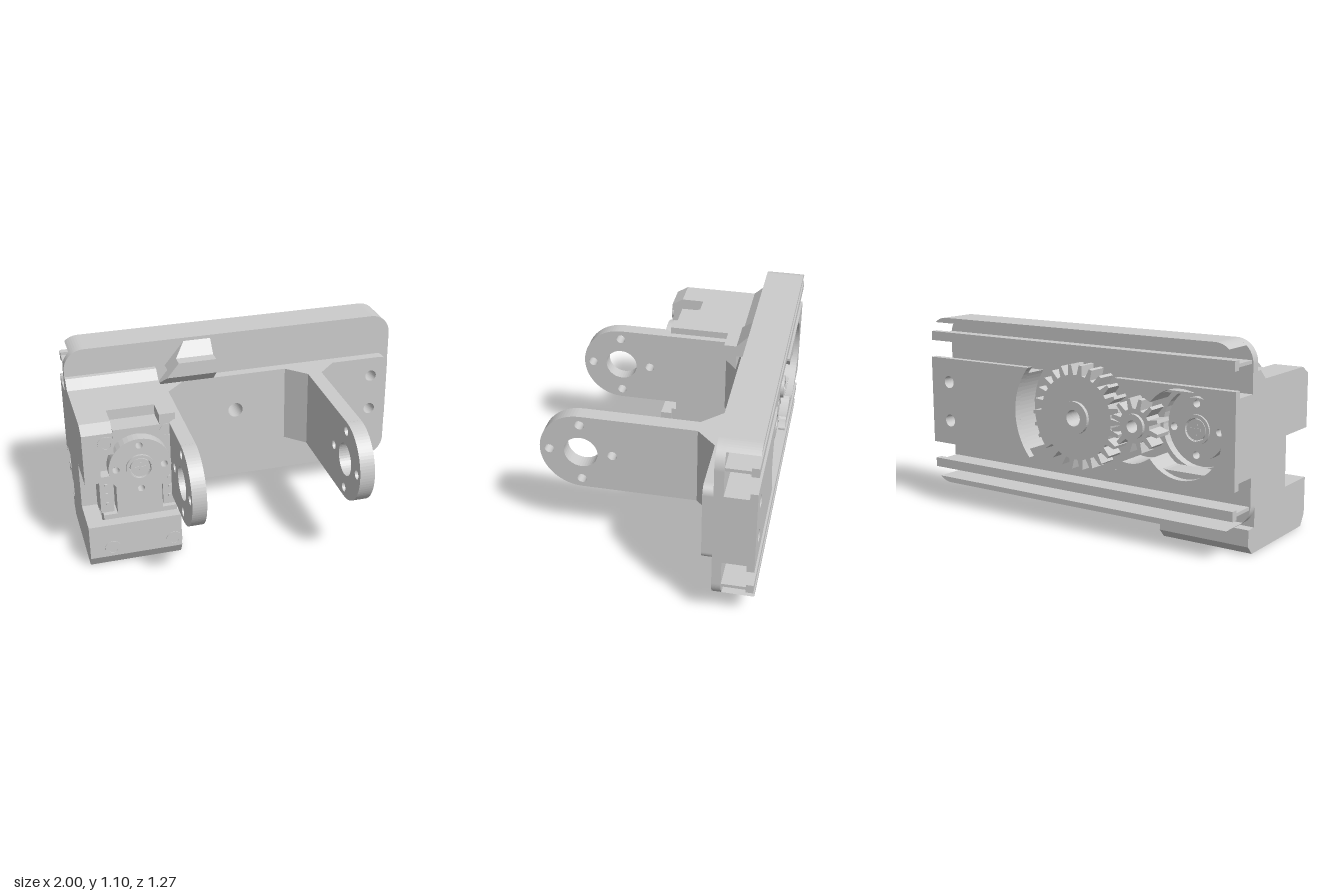
import * as THREE from 'three';

const C = 0.617; // height of the shaft axis
const HORN_X = -0.69, PINION_X = -0.38;

export function createModel() {
  const root = new THREE.Group();
  const mat = new THREE.MeshStandardMaterial({ color: 0xcccccc, side: THREE.DoubleSide });

  const add = (name, geo) => {
    const m = new THREE.Mesh(geo, mat);
    m.name = name;
    root.add(m);
    return m;
  };
  const poly = (pts) => new THREE.Shape(pts.map(([x, y]) => new THREE.Vector2(x, y)));
  const pierce = (shape, holes) => {
    for (const [x, y, r] of holes) shape.holes.push(new THREE.Path().absarc(x, y, r, 0, Math.PI * 2, true));
    return shape;
  };
  const extrude = (shape, depth) =>
    new THREE.ExtrudeGeometry(shape, { depth, bevelEnabled: false, curveSegments: 20 });
  // Shape in x, y pushed along z
  const alongZ = (name, shape, z0, z1) => add(name, extrude(shape, z1 - z0).translate(0, 0, z0));
  // Shape in -z, y pushed along x
  const alongX = (name, shape, x0, x1) =>
    add(name, extrude(shape, x1 - x0).rotateY(Math.PI / 2).translate(x0, 0, 0));
  const profile = (pts) => poly(pts.map(([z, y]) => [-z, y]));
  const box = (name, x0, x1, y0, y1, z0, z1) =>
    add(name, new THREE.BoxGeometry(x1 - x0, y1 - y0, z1 - z0)
      .translate((x0 + x1) / 2, (y0 + y1) / 2, (z0 + z1) / 2));
  const disc = (x, y, r) => new THREE.Shape().absarc(x, y, r, 0, Math.PI * 2);
  // Rectangle with a radius for each corner: bottom left, bottom right, top right, top left
  const rounded = (x0, x1, y0, y1, [a, b, c, d]) => {
    const s = new THREE.Shape(), H = Math.PI / 2;
    const corner = (x, y, r, t) => (r ? s.absarc(x, y, r, t, t + H) : s.lineTo(x, y));
    s.moveTo(x0 + a, y0);
    corner(x1 - b, y0 + b, b, -H);
    corner(x1 - c, y1 - c, c, 0);
    corner(x0 + d, y1 - d, d, H);
    corner(x0 + a, y0 + a, a, 2 * H);
    return s;
  };

  // Carriage: face plate with mounting and shaft holes
  const mounts = [[0.87, 0.73, 0.035], [0.87, 0.505, 0.035]];
  const shafts = [[0, C, 0.045], [PINION_X, C, 0.033]];
  alongZ('facePlate', pierce(rounded(-1, 1, 0.135, 1.1, [0.12, 0.12, 0.12, 0.12]),
    [...mounts, ...shafts, [HORN_X, C, 0.21]]), -0.465, -0.415);

  // Middle block, cut away around the gear train; the outer layer overhangs to form a slot
  const cavity = (x) => Math.max(...[[PINION_X, 0.19], [HORN_X, 0.235], [0, 0.38]]
    .map(([c, r]) => Math.sqrt(Math.max(0, r * r - (x - c) ** 2))));
  for (const [h, z0, z1] of [[0.213, -0.595, -0.465], [0.25, -0.635, -0.595]]) {
    const xg = Math.sqrt(0.38 ** 2 - h * h), a = Math.asin(h / 0.38);
    const end = [[1, C - h], [1, C + h]];
    for (let i = 0; i <= 20; i++) {
      const t = a - (2 * a * i) / 20;
      end.push([0.38 * Math.cos(t), C + 0.38 * Math.sin(t)]);
    }
    alongZ('blockPlainEnd', pierce(poly(end), mounts), z0, z1);
    const low = [];
    for (let i = 0; i <= 50; i++) {
      const x = -xg - ((0.925 - xg) * (1 - Math.cos((Math.PI * i) / 50))) / 2;
      low.push([x, Math.min(cavity(x), h - 0.012)]);
    }
    alongZ('blockGearEnd', poly([
      [-xg, C + h], [-1, C + h], [-1, C - h], [-xg, C - h],
      ...low.map(([x, d]) => [x, C - d]), ...low.reverse().map(([x, d]) => [x, C + d]),
    ]), z0, z1);
  }

  // Rails and outer lips, mirrored above and below the axis
  for (const s of [1, -1]) {
    const bar = (name, d0, d1, z0, z1) =>
      box(name, -0.992, 0.992, C + Math.min(s * d0, s * d1), C + Math.max(s * d0, s * d1), z0, z1);
    bar('railHead', 0.348, 0.4, -0.635, -0.595);
    bar('railWeb', 0.364, 0.382, -0.6, -0.46);
    const lip = [];
    for (const side of [1, -1]) {
      for (let i = 0; i <= 6; i++) {
        const k = side > 0 ? i : 6 - i;
        const t = 0.85 + ((Math.PI / 2 - 0.85) * k) / 6;
        lip.push([side * (0.88 + 0.12 * Math.cos(t)), C + s * (0.363 + 0.12 * Math.sin(t))]);
      }
    }
    alongZ('outerLip', poly(lip), -0.635, -0.46);
  }

  // Gears
  const gear = (name, x, n, root_, tip, bore, phase) => {
    const pts = [];
    for (let i = 0; i < n; i++) {
      for (const [f, r] of [[-0.3, root_], [-0.13, tip], [0.13, tip], [0.3, root_]]) {
        const t = ((i + f + phase) / n) * Math.PI * 2;
        pts.push([x + r * Math.cos(t), C + r * Math.sin(t)]);
      }
    }
    alongZ(name, pierce(poly(pts), [[x, C, bore]]), -0.59, -0.48);
    alongZ(name + 'Hub', pierce(disc(x, C, bore * 2), [[x, C, bore]]), -0.61, -0.46);
  };
  gear('largeGear', 0, 26, 0.232, 0.287, 0.045, 0);
  gear('pinion', PINION_X, 12, 0.092, 0.147, 0.033, 0.5);

  // Fork bracket: base plate, two arms and their gussets
  alongZ('bracketPlate', pierce(rounded(-0.47, 0.975, 0.385, 0.85, [0, 0.05, 0.05, 0]),
    [...mounts, ...shafts]), -0.415, -0.355);
  alongZ('bracketPad', rounded(-0.47, -0.135, 0.3, 0.39, [0.05, 0.06, 0, 0]), -0.415, -0.355);
  const arm = (name, z0, x0, x1) => {
    const s = new THREE.Shape();
    s.moveTo(-z0, 0.385);
    s.lineTo(-z0, 0.85);
    s.lineTo(-0.403, 0.85);
    s.absarc(-0.403, C, 0.2325, Math.PI / 2, Math.PI * 1.5);
    const holes = [[-0.403, C, 0.095]];
    for (let i = 0; i < 4; i++) {
      const t = (i * Math.PI) / 2;
      holes.push([-0.403 + 0.178 * Math.cos(t), C + 0.178 * Math.sin(t), 0.027]);
    }
    alongX(name, pierce(s, holes), x0, x1);
  };
  arm('leftArm', -0.36, 0.42, 0.505);
  arm('rightArm', 0.13, -0.51, -0.43);
  // Wedge in x, z pushed along y
  const prism = (name, pts) => add(name,
    extrude(poly(pts.map(([x, z]) => [x, -z])), 0.465).rotateX(-Math.PI / 2).translate(0, 0.385, 0));
  prism('rightArmRoot', [[-0.51, 0.13], [-0.47, 0.09], [-0.47, -0.36], [-0.43, -0.36], [-0.43, 0.13]]);
  for (const [x, d] of [[0.42, -0.11], [0.505, 0.11], [-0.43, 0.11]])
    prism('gusset', [[x, -0.245], [x, -0.355], [x + d, -0.355]]);

  // Hook above the bracket, its right end leaning with height
  const hook = alongX('hook', profile([[-0.415, 1.08], [-0.345, 1.005], [-0.275, 1.005], [-0.275, 0.92],
    [-0.345, 0.855], [-0.345, 0.94], [-0.415, 0.94]]), -0.47, -0.135);
  const p = hook.geometry.attributes.position;
  for (let i = 0; i < p.count; i++)
    if (p.getX(i) < -0.4) p.setX(i, -0.47 + (p.getY(i) - 0.87) * 0.83);
  hook.geometry.computeVertexNormals();

  // Motor housing: tray, notched side wall and roof
  alongX('housingTray', profile([[0.165, 0.065], [0.125, 0], [-0.44, 0], [-0.48, 0.045], [-0.48, 0.135],
    [-0.415, 0.135], [-0.415, 0.07], [0.1, 0.07], [0.1, 0.27], [0.165, 0.27]]), -1, -0.47);
  alongX('housingWall', profile([[0.165, 0.065], [0.165, 0.27], [-0.08, 0.27], [-0.08, 0.55], [0.165, 0.55],
    [0.165, 0.85], [0.1, 0.89], [-0.33, 0.89], [-0.385, 0.94], [-0.42, 0.94], [-0.42, 0.065]]), -1, -0.91);
  alongX('housingRoof', profile([[-0.03, 0.83], [-0.03, 0.89], [-0.33, 0.89], [-0.385, 0.94],
    [-0.42, 0.94], [-0.42, 0.83]]), -0.92, -0.47);
  alongX('roofFrontRight', profile([[0.165, 0.72], [0.165, 0.85], [0.1, 0.89], [-0.04, 0.89], [-0.04, 0.72]]),
    -0.92, -0.83);
  box('roofFrontLeft', -0.56, -0.47, 0.74, 0.89, -0.04, 0.1);

  // Servo body with side ports and corner screws
  box('servoBody', -0.91, -0.475, 0.07, 0.83, -0.41, 0.0);
  box('servoFront', -0.82, -0.56, 0.07, 0.83, -0.01, 0.1);
  box('servoLowerCase', -0.9, -0.478, 0.07, 0.3, -0.01, 0.1);
  for (const x of [-0.91, -0.55]) {
    box('servoPort', x, x + 0.075, 0.3, 0.53, -0.01, 0.07);
    for (let i = 0; i < 3; i++) box('portPin', x + 0.03, x + 0.045, 0.35 + i * 0.06, 0.365 + i * 0.06, 0.07, 0.08);
  }
  for (const [x, y, z] of [[-0.87, 0.785, 0.165], [-0.87, 0.115, 0.165], [-0.515, 0.115, 0.165], [-0.515, 0.785, 0.1]])
    alongZ('caseScrew', pierce(disc(x, y, 0.047), [[x, y, 0.027]]), z - 0.01, z + 0.004);

  // Output horn in front and idler horn behind
  const horn = (name, r, z0, z1, dir) => {
    const holes = [[HORN_X, C, 0.06]];
    for (let i = 0; i < 4; i++) {
      const t = (i * Math.PI) / 2;
      holes.push([HORN_X + 0.135 * Math.cos(t), C + 0.135 * Math.sin(t), 0.02]);
    }
    alongZ(name, pierce(disc(HORN_X, C, r), holes), z0, z1);
    const face = dir > 0 ? z1 : z0;
    alongZ(name + 'Collar', pierce(disc(HORN_X, C, 0.08), [[HORN_X, C, 0.062]]), face - 0.012, face + 0.012);
    const z = face - dir * 0.01;
    alongZ(name + 'Screw', disc(HORN_X, C, 0.055), z - 0.015, z + 0.015);
    box(name + 'ScrewCross', HORN_X - 0.03, HORN_X + 0.03, C - 0.007, C + 0.007, z - 0.019, z + 0.019);
    box(name + 'ScrewCross', HORN_X - 0.007, HORN_X + 0.007, C - 0.03, C + 0.03, z - 0.019, z + 0.019);
  };
  horn('outputHorn', 0.175, 0.1, 0.165, 1);
  horn('idlerHorn', 0.165, -0.48, -0.41, -1);

  return root;
}
